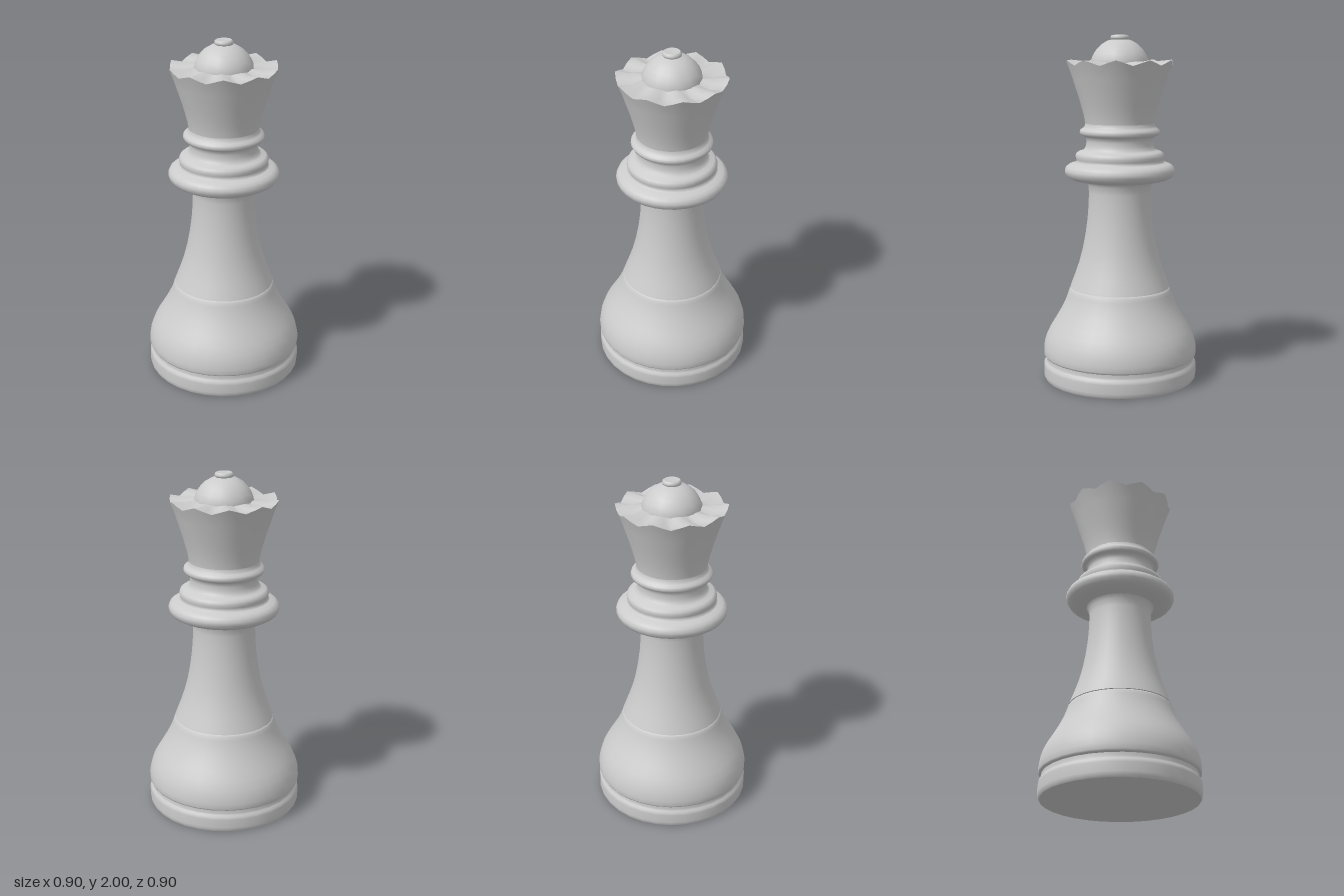
import * as THREE from 'three';
import { mergeVertices } from 'three/addons/utils/BufferGeometryUtils.js';

const material = new THREE.MeshStandardMaterial({ color: 0xcccccc });
const SIDES = 32;
const CROWN_POINTS = 10;

// Turned part from [radius, height] pairs, listed from bottom to top
function turned(name, profile, sides = SIDES) {
  const points = profile.map(([r, y]) => new THREE.Vector2(r, y));
  const mesh = new THREE.Mesh(new THREE.LatheGeometry(points, sides), material);
  mesh.name = name;
  return mesh;
}

// Turned part whose outer rim dips between the crown points
function scalloped(name, profile) {
  const mesh = turned(name, profile, CROWN_POINTS * 4);
  const pos = mesh.geometry.attributes.position;
  for (let i = 0; i < pos.count; i++) {
    const x = pos.getX(i), y = pos.getY(i), z = pos.getZ(i);
    const r = Math.hypot(x, z);
    if (y < 1.7 || r < 0.2) continue;
    const turn = (Math.atan2(x, z) / (2 * Math.PI) + 1) * CROWN_POINTS;
    const dip = 2 * Math.abs(turn - Math.round(turn)); // 0 at a point, 1 between
    const amount = dip * THREE.MathUtils.smoothstep(y, 1.7, 1.85);
    const k = (r - 0.013 * amount) / r;
    pos.setXYZ(i, x * k, y - 0.03 * amount, z * k);
  }
  mesh.geometry.deleteAttribute('uv');
  mesh.geometry.deleteAttribute('normal');
  mesh.geometry = mergeVertices(mesh.geometry);
  mesh.geometry.computeVertexNormals();
  return mesh;
}

export function createModel() {
  const model = new THREE.Group();
  model.name = 'chessQueen';

  // Foot
  model.add(turned('underside', [[0, 0], [0.44, 0]]));
  model.add(turned('footRing', [
    [0.44, 0], [0.448, 0.012], [0.45, 0.03], [0.45, 0.08], [0.447, 0.095],
    [0.438, 0.105], [0.434, 0.115], [0.434, 0.135],
  ]));
  model.add(turned('bell', [
    [0.434, 0.135], [0.445, 0.14], [0.45, 0.15], [0.45, 0.18], [0.443, 0.22], [0.43, 0.26],
    [0.408, 0.305], [0.38, 0.35], [0.345, 0.41], [0.318, 0.465], [0.302, 0.51],
    [0.296, 0.53], [0.288, 0.54], [0.275, 0.543],
  ]));

  // Stem, starting with a small step above the bell
  model.add(turned('stemStep', [[0.27, 0.543], [0.291, 0.543]]));
  model.add(turned('stem', [
    [0.291, 0.543], [0.285, 0.56], [0.262, 0.62], [0.238, 0.69], [0.217, 0.77],
    [0.2, 0.86], [0.188, 0.95], [0.182, 1.03], [0.18, 1.1], [0.183, 1.145], [0.2, 1.165],
  ]));

  // Stacked collars
  model.add(turned('wideCollar', [
    [0.18, 1.16], [0.23, 1.168], [0.275, 1.177], [0.303, 1.192], [0.317, 1.212], [0.319, 1.232],
    [0.31, 1.252], [0.292, 1.265], [0.26, 1.275],
  ]));
  model.add(turned('middleCollar', [
    [0.26, 1.275], [0.251, 1.282], [0.252, 1.295], [0.257, 1.31], [0.252, 1.328],
    [0.238, 1.338], [0.215, 1.344], [0.202, 1.355], [0.195, 1.375], [0.193, 1.4],
    [0.197, 1.42], [0.21, 1.428],
  ]));
  model.add(turned('upperCollar', [
    [0.21, 1.428], [0.225, 1.434], [0.232, 1.448], [0.228, 1.463], [0.213, 1.473],
    [0.203, 1.483], [0.2, 1.5],
  ]));

  // Crown with its scalloped rim
  model.add(scalloped('crownWall', [
    [0.2, 1.5], [0.206, 1.54], [0.219, 1.59], [0.236, 1.65], [0.256, 1.71],
    [0.274, 1.765], [0.292, 1.815], [0.31, 1.86],
  ]));
  model.add(scalloped('crownTop', [[0.31, 1.86], [0.235, 1.853], [0.15, 1.85]]));

  // Dome and finial
  model.add(turned('dome', [
    [0.166, 1.845], [0.164, 1.865], [0.152, 1.893], [0.132, 1.922], [0.105, 1.948],
    [0.073, 1.967], [0.035, 1.978],
  ], 16));
  model.add(turned('finial', [
    [0.04, 1.97], [0.051, 1.977], [0.053, 1.985], [0.05, 1.995], [0.043, 2],
  ]));
  model.add(turned('finialTop', [[0.043, 2], [0.02, 1.998], [0, 1.998]]));

  return model;
}
